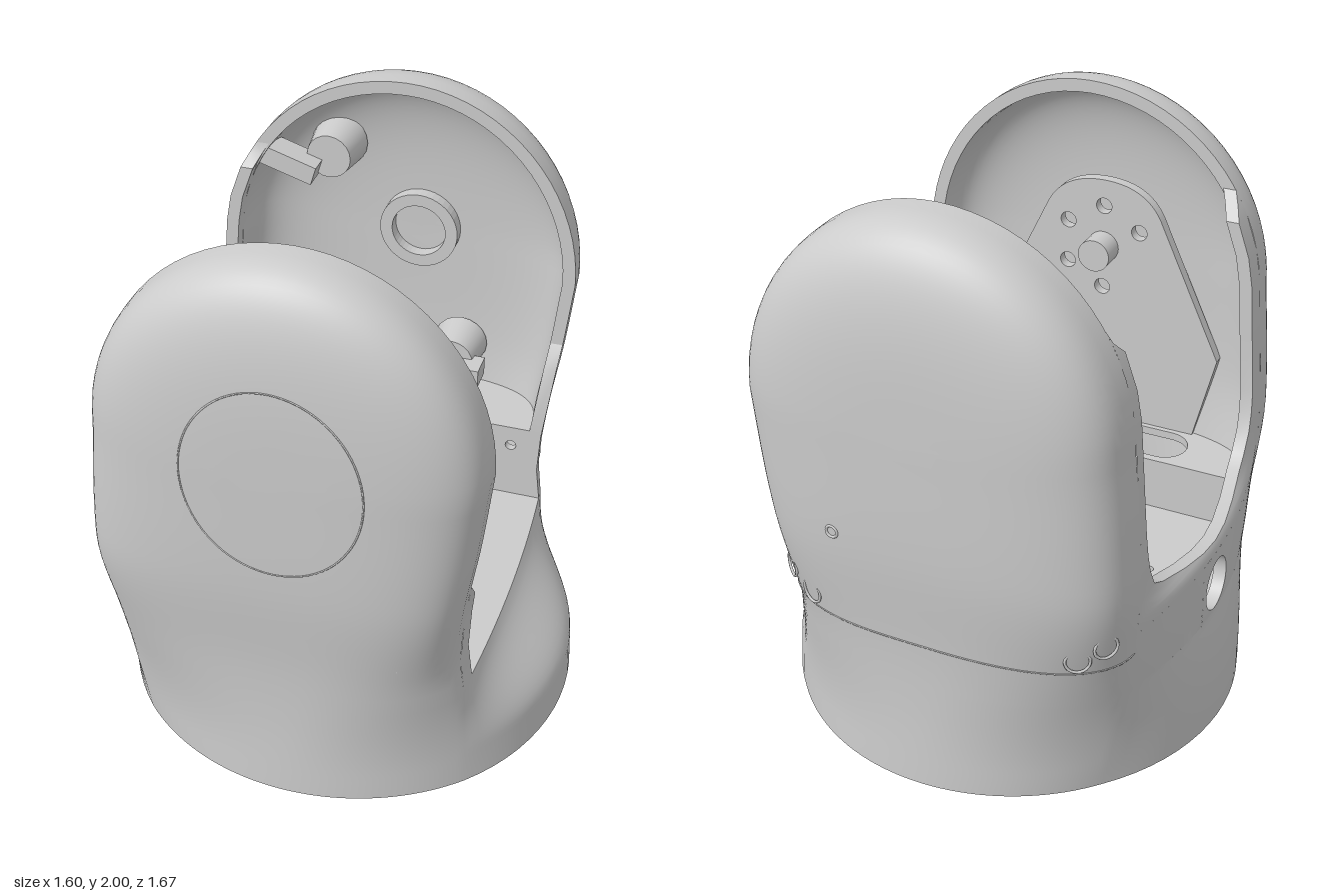
import * as THREE from 'three';
import { mergeGeometries, toCreasedNormals } from 'three/addons/utils/BufferGeometryUtils.js';

const V = (x, y, z) => new THREE.Vector3(x, y, z);
const { lerp, smoothstep, clamp } = THREE.MathUtils;
const mat = new THREE.MeshStandardMaterial({ color: 0xcccccc, side: THREE.DoubleSide });
const ZF = 0.57, ZB = 0.54;          // inner faces of front and back prong
const Y0 = 0.42, YC = 1.33, TOP = 0.67; // floor, centre and radius of the round top
const WALL = 0.045, N = 3.3, E = 2 / N;  // skin thickness, roundness of the prong section

// smooth curve through [y, value] pairs
function curve(p) {
  const slope = i => {
    const a = p[Math.max(i - 1, 0)], b = p[Math.min(i + 1, p.length - 1)];
    return (b[1] - a[1]) / (b[0] - a[0]);
  };
  return y => {
    let i = 0;
    while (i < p.length - 2 && y > p[i + 1][0]) i++;
    const h = p[i + 1][0] - p[i][0], t = clamp((y - p[i][0]) / h, 0, 1), t2 = t * t, t3 = t2 * t;
    return (2 * t3 - 3 * t2 + 1) * p[i][1] + (t3 - 2 * t2 + t) * h * slope(i)
      + (3 * t2 - 2 * t3) * p[i + 1][1] + (t3 - t2) * h * slope(i + 1);
  };
}
const widthR = curve([[0, 0.575], [0.42, 0.555], [0.55, 0.54], [0.8, 0.555], [1.05, 0.59], [1.33, 0.62]]);
const widthL = curve([[0, 0.575], [0.42, 0.65], [0.55, 0.665], [0.8, 0.68], [1.05, 0.67], [1.33, 0.645]]);
const depth = curve([[0, 0.8], [0.3, 0.79], [0.55, 0.795], [0.9, 0.825], [1.33, 0.833]]);

// quads between rows of points
function loft(rows, flip = false) {
  const pos = [], n = rows[0].length;
  const tri = (a, b, c) => (flip ? [a, c, b] : [a, b, c]).forEach(p => pos.push(p.x, p.y, p.z));
  for (let i = 0; i < rows.length - 1; i++) for (let j = 0; j < n - 1; j++) {
    const a = rows[i][j], b = rows[i + 1][j], c = rows[i + 1][j + 1], d = rows[i][j + 1];
    tri(a, b, d);
    tri(b, c, d);
  }
  const g = new THREE.BufferGeometry();
  g.setAttribute('position', new THREE.Float32BufferAttribute(pos, 3));
  return g;
}
const range = (n, f) => Array.from({ length: n + 1 }, (_, i) => f(i / n));

// end section at height y, a = 0 (+x) to 1 (-x), f = 1 front, -1 back; arc at the foot, squarer above
function end(y, a, f, o) {
  const zr = f > 0 ? ZF : ZB, c = Math.cos(a * Math.PI), s = Math.sin(a * Math.PI), k = smoothstep(y, 0.1, 0.9);
  const R = 0.8 - o, p0 = Math.asin(zr / R), p = p0 + (Math.PI - 2 * p0) * a;
  const w = (c > 0 ? widthR(y) : widthL(y)) - o;
  const x = w * lerp(Math.cos(p) / Math.cos(p0), Math.sign(c) * Math.abs(c) ** E, k);
  const q = lerp((R * Math.sin(p) - zr) / (R - zr), Math.abs(s) ** E, k);
  return V(x, y, f * (zr + (depth(y) - o - zr) * q));
}
// side section between the prongs at t = 0 (front) to 1 (back)
function flank(y, t, sgn, o) {
  const k = sgn < 0 ? clamp(y / Y0, 0, 1) : smoothstep(y, 0.14, 0.45);
  const R = 0.8 - o, p0 = Math.asin(ZF / R), p1 = -Math.asin(ZB / R), p = lerp(p0, p1, t);
  const bow = (sgn < 0 ? (0.15 - 0.12 * y) * (1 - smoothstep(y, 0.68, 0.78)) : 0.02) * (1 - (2 * t - 1) ** 2);
  const round = R * (Math.cos(p) - lerp(Math.cos(p0), Math.cos(p1), t));
  const dome = Math.sqrt(1 - (Math.max(0, y - YC) / TOP) ** 2);
  const w = (sgn < 0 ? widthL(y) : widthR(y)) * dome - o;
  return V(sgn * (w + lerp(round, bow, k)), y, lerp(R * Math.sin(p), lerp(ZF, -ZB, t), clamp(y / Y0, 0, 1)));
}
const flankAt = (y, z, sgn, o) => flank(y, (ZF - z) / (ZF + ZB), sgn, o);

function ring(y, o) {
  return [...range(40, t => end(y, t, 1, o)), ...range(20, t => flank(y, t, -1, o)),
    ...range(40, t => end(y, 1 - t, -1, o)), ...range(20, t => flank(y, 1 - t, 1, o))];
}
function prongRows(f, o) {
  const zr = f > 0 ? ZF : ZB, D = depth(YC) - o - zr;
  const dome = phi => range(20, s => {
    const r = Math.abs(Math.cos(s * Math.PI / 2)) ** E, c = Math.cos(phi);
    const w = (c > 0 ? widthR(YC) : widthL(YC)) - o;
    return V(r * w * c, YC + r * (TOP - o) * Math.sin(phi), f * (zr + D * Math.sin(s * Math.PI / 2) ** E));
  });
  return [...range(18, t => range(20, s => end(lerp(Y0, YC, t), s / 2, f, o))),
    ...range(36, t => dome(t * Math.PI)).slice(1, -1),
    ...range(18, t => range(20, s => end(lerp(YC, Y0, t), 1 - s / 2, f, o)))];
}
// side wall from a prong edge to z = in(y); rows are [y, in]
function lip(sgn, f, rows) {
  const zr = f > 0 ? ZF : ZB;
  const skin = o => rows.map(([y, zin]) => range(10, t => flankAt(y, f * lerp(zr, Math.min(zin, zr), t), sgn, o)));
  const a = skin(0), b = skin(WALL), flip = sgn * f > 0;
  const edge = a.map((r, i) => [r[10], b[i][10]]);
  const last = a.length - 1;
  return [loft(a, flip), loft(b, !flip), loft(edge, flip), loft([a[last], b[last]], flip)];
}

export function createModel() {
  const model = new THREE.Group();
  const add = (name, geo, x = 0, y = 0, z = 0) => {
    const m = new THREE.Mesh(geo, mat);
    m.name = name;
    m.position.set(x, y, z);
    model.add(m);
    return m;
  };

  // outer housing: round foot with an inner ledge, two hollow prongs, side walls
  const inner = [[0, WALL], [0.06, WALL], [0.12, WALL], [0.12, 0.07], [0.2, 0.07], [0.3, 0.07], [0.4, 0.07]];
  const parts = [loft(range(18, t => ring(t * Y0, 0))), loft(inner.map(([y, o]) => ring(y, o)), true),
    loft([ring(0, 0), ring(0, WALL)], true), loft([ring(Y0, 0), ring(Y0, WALL)])];
  for (const f of [1, -1]) {
    const a = prongRows(f, 0), b = prongRows(f, WALL);
    parts.push(loft(a, f < 0), loft(b, f > 0), loft(a.map((r, i) => [r[0], b[i][0]]), f > 0));
    parts.push(...lip(-1, f, [[Y0, 0.12], [0.5, 0.12], [0.58, 0.12], [0.66, 0.12]]));
    parts.push(...lip(-1, f, [[0.66, 0], [0.68, 0], [0.7, 0], [0.705, 0.1], [0.72, 0.22], [0.75, 0.36], [0.78, 0.42],
      [0.85, 0.46], [0.92, 0.48], [1, 0.49], [1.2, 0.49], [1.4, 0.49], [1.5, 0.49], [1.62, 0.49], [1.66, 0.53], [1.7, 0.57]]));
    const h = f > 0 ? 0.78 : 1.0;
    parts.push(...lip(1, f, [[Y0, 0.49], [0.55, 0.49], [0.7, 0.49], [h, 0.49], [h + 0.08, 0.56]]));
  }
  // cable hole in the side wall
  const holePatch = o => range(48, t => range(4, s => {
    const c = Math.cos(t * 2 * Math.PI), n = Math.sin(t * 2 * Math.PI), q = 0.12 / Math.max(Math.abs(c), Math.abs(n));
    return flankAt(lerp(0.525 + 0.095 * n, 0.54 + q * n, s), lerp(0.095 * c, q * c, s), -1, o);
  }));
  const ho = holePatch(0), hi = holePatch(WALL);
  parts.push(loft(ho, true), loft(hi), loft(ho.map((r, i) => [r[0], hi[i][0]])));
  add('housing', toCreasedNormals(mergeGeometries(parts), 0.6));

  // flat plates with holes; shape y runs along -z
  const circle = (x, y, r) => new THREE.Path().absarc(x, y, r, 0, Math.PI * 2, true);
  const extrude = (shape, d) => new THREE.ExtrudeGeometry(shape, { depth: d, bevelEnabled: false, curveSegments: 20 });
  const plate = (name, shape, y, h) => add(name, extrude(shape, h).rotateX(-Math.PI / 2), 0, y, 0);
  const bolts = range(11, t => t * 11 / 12 * 2 * Math.PI).map(a => circle(0.355 * Math.cos(a), 0.355 * Math.sin(a), 0.03));

  const floor = new THREE.Shape();
  floor.moveTo(0.55, -0.51).lineTo(0.57, 0).lineTo(0.55, 0.51).lineTo(-0.62, 0.51);
  floor.quadraticCurveTo(-0.8, 0, -0.62, -0.51);
  floor.holes.push(circle(0, 0, 0.19), ...bolts, circle(-0.46, 0.115, 0.016), circle(-0.46, -0.115, 0.016));
  plate('floor', floor, Y0 - 0.04, 0.04);

  // stepped mounting flange under the floor
  const flange = new THREE.Shape().absarc(0, 0, 0.45, 0, Math.PI * 2);
  flange.holes.push(circle(0, 0, 0.3), ...bolts);
  plate('mountingFlange', flange, 0.22, 0.16);
  const hub = new THREE.Shape().absarc(0, 0, 0.3, 0, Math.PI * 2);
  hub.holes.push(circle(0, 0, 0.19));
  plate('flangeStep', hub, 0.28, 0.1);

  // step wall and shelf at the foot of each prong
  for (const [f, y] of [[1, 0.62], [-1, 0.72]]) {
    const pts = range(40, t => end(y, t, f, 0.03)).map(p => new THREE.Vector2(p.x, -p.z));
    pts.push(new THREE.Vector2(-widthL(y) + 0.03, -f * 0.49), new THREE.Vector2(widthR(y) - 0.03, -f * 0.49));
    const shelf = new THREE.Shape(pts);
    const wall = new THREE.Shape();
    wall.moveTo(-0.62, 0.4).lineTo(0.52, 0.4).lineTo(0.52, y).lineTo(-0.62, y);
    if (f > 0) {
      const slot = new THREE.Path();
      slot.absarc(0.31, -0.61, 0.09, -Math.PI / 2, Math.PI / 2);
      slot.absarc(-0.31, -0.61, 0.09, Math.PI / 2, Math.PI * 1.5);
      shelf.holes.push(slot);
    } else for (const x of [-0.44, -0.34, 0.34, 0.44]) wall.holes.push(circle(x, 0.64, 0.02));
    plate(f > 0 ? 'frontShelf' : 'backShelf', shelf, y - 0.03, 0.03);
    add(f > 0 ? 'frontStep' : 'backStep', extrude(wall, 0.03), 0, 0, f > 0 ? 0.49 : -0.52);
  }

  // drive panel with stud inside the front prong
  const panel = new THREE.Shape();
  panel.moveTo(-0.38, 0.62).lineTo(0.38, 0.62).lineTo(0.46, 0.95).lineTo(0.22, 1.46);
  panel.quadraticCurveTo(0.16, 1.58, 0, 1.58).quadraticCurveTo(-0.16, 1.58, -0.22, 1.46).lineTo(-0.46, 0.95);
  for (let i = 0; i < 6; i++) panel.holes.push(circle(0.16 * Math.sin(i * Math.PI / 3), 1.32 + 0.16 * Math.cos(i * Math.PI / 3), 0.03));
  add('drivePanel', extrude(panel, 0.04), 0, 0, 0.72);
  add('driveStud', new THREE.CylinderGeometry(0.06, 0.06, 0.12, 24).rotateX(Math.PI / 2), 0, 1.32, 0.69);

  // bearing boss and two clips inside the back prong
  const boss = new THREE.Shape().absarc(0, 0, 0.145, 0, Math.PI * 2);
  boss.holes.push(circle(0, 0, 0.1));
  add('bearingBoss', extrude(boss, 0.05), 0, 1.33, -0.79);
  for (const [x, y, dx, turn] of [[-0.3, 1.64, -0.13, -0.3], [0.17, 0.88, 0.02, 0]]) {
    add('clipPost', new THREE.CylinderGeometry(0.08, 0.1, 0.14, 20).rotateX(Math.PI / 2), x, y, -0.69);
    add('clipArm', new THREE.BoxGeometry(0.2, 0.07, 0.1), x + dx, y - 0.02, -0.6).rotation.z = turn;
  }

  // fine seams and screw sockets on the outside
  const seam = (name, pts, closed) => add(name, new THREE.TubeGeometry(new THREE.CatmullRomCurve3(pts, closed), 80, 0.003, 5, closed));
  seam('capSeam', range(47, t => {
    const a = t * 47 / 48 * 2 * Math.PI, x = 0.29 * Math.cos(a), y = 0.335 * Math.sin(a);
    const r = Math.hypot(x / (x > 0 ? widthR(YC) : widthL(YC)), Math.max(y, 0) / TOP), d = depth(Math.min(1.32 + y, YC));
    return V(x, 1.32 + y, ZF + (d - ZF) * (1 - r ** N) ** (1 / N));
  }), true);
  seam('coverSeam', range(40, t => end(0.58, t, -1, 0)), false);
  for (const [a, y, r] of [[0.18, 0.69, 0.04], [0.28, 0.64, 0.04], [0.8, 0.64, 0.04], [0.88, 0.69, 0.04], [0.42, 0.95, 0.02]]) {
    const p = end(y, a, -1, 0), q = end(y, a + 0.01, -1, 0).sub(end(y, a - 0.01, -1, 0));
    add('screwSocket', new THREE.TorusGeometry(r, 0.005, 6, 24), p.x, p.y, p.z).rotation.y = Math.atan2(-q.z, q.x);
  }
  // locating tab on the inside of the foot
  add('locatingTab', new THREE.BoxGeometry(0.06, 0.14, 0.14), -0.72, 0.09, 0.12);
  return model;
}
